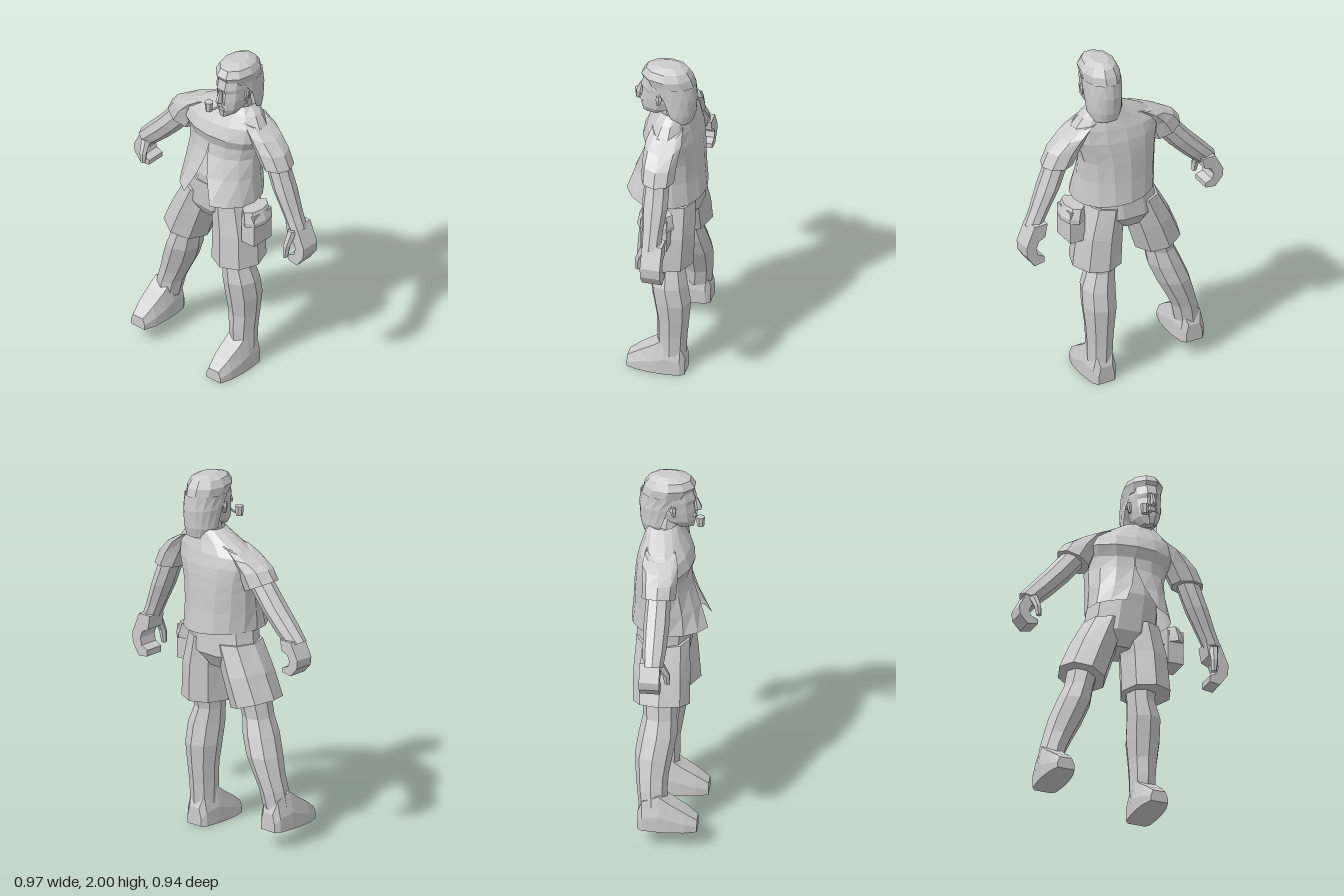
import * as THREE from 'three';

const clay = new THREE.MeshStandardMaterial({ color: 0xcccccc, flatShading: true, side: THREE.DoubleSide });
clay.name = 'light grey';

// Horizontal cross-section; tilt raises its +x side, gap leaves an opening (degrees each way) at the front
function ring([x, y, z, a, b, tilt = 0, gap = 0], n, open) {
  const pts = [];
  const g = THREE.MathUtils.degToRad(gap);
  for (let i = 0; i < n; i++) {
    const t = open ? Math.PI / 2 + g + (i / (n - 1)) * 2 * (Math.PI - g) : (i / n) * 2 * Math.PI;
    pts.push([x + a * Math.cos(t), y + tilt * Math.cos(t), z + b * Math.sin(t)]);
  }
  return pts;
}

// Skin a stack of equal cross-sections, with flat ends unless open
function skin(name, rings, open = false) {
  const n = rings[0].length;
  const pos = rings.flat(2);
  const idx = [];
  for (let r = 0; r < rings.length - 1; r++) {
    for (let i = 0; i < (open ? n - 1 : n); i++) {
      const j = (i + 1) % n;
      const a = r * n + i, b = r * n + j;
      idx.push(a, a + n, b, b, a + n, b + n);
    }
  }
  if (!open) {
    const top = (rings.length - 1) * n;
    for (let i = 1; i < n - 1; i++) idx.push(0, i, i + 1, top, top + i + 1, top + i);
  }
  const g = new THREE.BufferGeometry();
  g.setAttribute('position', new THREE.Float32BufferAttribute(pos, 3));
  g.setIndex(idx);
  g.computeVertexNormals();
  return part(name, g);
}

function part(name, geometry, x = 0, y = 0, z = 0) {
  const m = new THREE.Mesh(geometry, clay);
  m.name = name;
  m.position.set(x, y, z);
  return m;
}

const loft = (name, sections, n = 8) => skin(name, sections.map(s => ring(s, n, false)));
const wrap = (name, sections, n) => skin(name, sections.map(s => ring(s, n, true)), true);

// Boot: trapezoid sections running from heel to toe
function foot(name, x, y, z) {
  const sections = [
    [-0.095, 0.05, 0.1], [-0.07, 0.07, 0.17], [0.02, 0.078, 0.21],
    [0.08, 0.078, 0.165], [0.16, 0.07, 0.115], [0.228, 0.05, 0.065]
  ];
  return skin(name, sections.map(([d, w, h]) => [
    [x - w * 0.7, y + h, z + d], [x + w * 0.7, y + h, z + d],
    [x + w, y + h * 0.45, z + d], [x + w, y, z + d],
    [x - w, y, z + d], [x - w, y + h * 0.45, z + d]
  ]));
}

// Half-closed hand: curled palm and fingers, plus a thumb in front
function hand(name, side, dx, dy, sy) {
  const g = new THREE.Group();
  g.name = name;
  const X = x => side * (x + dx);
  const Y = y => 1.1 + dy + (y - 1.1) * sy;
  const outline = [
    [0.5, 1.1], [0.58, 1.1], [0.63, 0.98], [0.625, 0.92], [0.58, 0.855], [0.52, 0.865],
    [0.52, 0.9], [0.56, 0.92], [0.57, 0.96], [0.555, 1.0], [0.515, 1.02]
  ];
  const shape = new THREE.Shape(outline.map(([x, y]) => new THREE.Vector2(X(x), Y(y))));
  const palm = new THREE.ExtrudeGeometry(shape, { depth: 0.11, bevelEnabled: false });
  g.add(part('palm', palm, 0, 0, -0.07));
  g.add(loft('thumb', [
    [X(0.53), Y(0.91), 0.075, 0.015, 0.016],
    [X(0.535), Y(0.98), 0.07, 0.021, 0.022],
    [X(0.545), Y(1.07), 0.03, 0.027, 0.032]
  ], 6));
  return g;
}

export function createModel() {
  const model = new THREE.Group();
  model.name = 'standingMan';
  const body = new THREE.Group();
  body.name = 'body';
  body.rotation.y = -Math.PI / 4;
  model.add(body);

  // Legs and boots
  body.add(
    loft('leftLeg', [
      [0.138, 0.12, -0.015, 0.073, 0.078], [0.138, 0.24, -0.015, 0.075, 0.085], [0.14, 0.34, -0.02, 0.083, 0.09],
      [0.14, 0.46, -0.015, 0.097, 0.105], [0.137, 0.57, 0.003, 0.097, 0.105], [0.118, 0.67, 0.01, 0.08, 0.09],
      [0.12, 0.8, 0, 0.09, 0.1]
    ]),
    loft('rightLeg', [
      [-0.405, 0.22, -0.015, 0.073, 0.078], [-0.385, 0.32, -0.022, 0.075, 0.083], [-0.355, 0.4, -0.025, 0.083, 0.09],
      [-0.315, 0.5, -0.02, 0.096, 0.103], [-0.272, 0.61, -0.002, 0.097, 0.105], [-0.245, 0.7, 0.005, 0.083, 0.092],
      [-0.21, 0.84, 0, 0.09, 0.1]
    ]),
    foot('leftFoot', 0.136, 0, 0),
    foot('rightFoot', -0.41, 0.1, 0)
  );

  // Shorts
  body.add(
    loft('shortsSeat', [
      [-0.03, 0.95, 0, 0.12, 0.1], [-0.01, 1.03, 0, 0.21, 0.155], [0.01, 1.2, 0.01, 0.205, 0.155]
    ], 10),
    loft('shortsLeftLeg', [
      [0.14, 0.72, 0.025, 0.14, 0.158], [0.13, 0.92, 0.015, 0.132, 0.155], [0.1, 1.1, 0.01, 0.115, 0.145]
    ]),
    loft('shortsRightLeg', [
      [-0.23, 0.77, 0.01, 0.128, 0.155, -0.04], [-0.17, 0.93, 0.005, 0.128, 0.155, -0.02],
      [-0.1, 1.1, 0.005, 0.115, 0.145]
    ])
  );

  // Cargo pocket with a folded flap
  body.add(
    part('cargoPocket', new THREE.BoxGeometry(0.09, 0.19, 0.145), 0.28, 0.995, 0.04),
    loft('pocketFlap', [
      [0.285, 1.025, 0.04, 0.06, 0.1], [0.285, 1.05, 0.04, 0.062, 0.1], [0.27, 1.11, 0.04, 0.05, 0.09]
    ])
  );

  // Chest and belly beneath the shirt
  body.add(loft('torso', [
    [0.02, 1.14, 0.015, 0.18, 0.14], [0.02, 1.25, 0.015, 0.19, 0.15],
    [0.02, 1.4, -0.005, 0.19, 0.135], [0.03, 1.58, 0, 0.2, 0.11], [0.1, 1.69, -0.01, 0.07, 0.07]
  ], 10));

  // Shirt, parted and flared at the lower front
  body.add(wrap('shirt', [
    [0.03, 1.15, 0.04, 0.235, 0.222, -0.02, 23], [0.025, 1.28, 0.015, 0.225, 0.185, 0, 9],
    [0.025, 1.4, -0.005, 0.225, 0.16, 0, 1], [0.03, 1.47, -0.008, 0.24, 0.152],
    [0.035, 1.53, 0.005, 0.265, 0.158], [0.04, 1.6, 0, 0.26, 0.135, 0.015],
    [0.065, 1.66, -0.01, 0.19, 0.105, 0.015], [0.105, 1.715, -0.02, 0.1, 0.085]
  ], 15));

  // Arms with short sleeves running into the shoulders
  body.add(
    loft('leftArm', [
      [0.54, 1.08, 0, 0.05, 0.055], [0.505, 1.16, 0, 0.053, 0.058], [0.45, 1.29, 0, 0.063, 0.072],
      [0.415, 1.38, 0, 0.064, 0.07], [0.385, 1.47, 0, 0.065, 0.068]
    ]),
    loft('leftSleeve', [
      [0.395, 1.42, 0, 0.09, 0.092], [0.35, 1.51, 0, 0.098, 0.096, -0.01], [0.29, 1.59, -0.005, 0.09, 0.1, -0.025],
      [0.22, 1.645, -0.01, 0.075, 0.085, -0.03], [0.14, 1.665, -0.01, 0.06, 0.07, -0.02]
    ]),
    loft('rightArm', [
      [-0.535, 1.18, 0, 0.052, 0.055, -0.02], [-0.465, 1.25, 0, 0.06, 0.065, 0.03],
      [-0.37, 1.35, 0, 0.063, 0.07, 0.03], [-0.27, 1.47, 0, 0.062, 0.067, 0.03]
    ].map(s => [...s.slice(0, 5), -0.025])),
    loft('rightSleeve', [
      [-0.275, 1.45, 0, 0.09, 0.092, -0.045], [-0.23, 1.53, 0, 0.092, 0.096, -0.02],
      [-0.17, 1.595, -0.005, 0.085, 0.098, 0.015], [-0.11, 1.635, -0.01, 0.075, 0.085, 0.025],
      [-0.03, 1.655, -0.01, 0.06, 0.07, 0.02]
    ]),
    hand('leftHand', 1, -0.01, 0, 1),
    hand('rightHand', -1, -0.025, 0.11, 0.78)
  );

  // Head and face
  const hx = 0.125;
  const head = new THREE.Group();
  head.name = 'head';
  body.add(head);
  head.add(
    loft('neck', [[0.11, 1.62, -0.01, 0.075, 0.075], [hx, 1.76, 0.01, 0.06, 0.07]]),
    loft('face', [
      [hx, 1.695, 0.085, 0.04, 0.06], [hx, 1.735, 0.06, 0.07, 0.1], [hx, 1.79, 0.045, 0.082, 0.115],
      [hx, 1.84, 0.04, 0.085, 0.112], [hx, 1.865, 0.04, 0.086, 0.123], [hx, 1.93, 0.025, 0.085, 0.12]
    ], 10),
    loft('nose', [[hx, 1.79, 0.16, 0.018, 0.03], [hx, 1.805, 0.165, 0.016, 0.027], [hx, 1.86, 0.155, 0.01, 0.012]], 6),
    loft('moustache', [[hx, 1.758, 0.145, 0.04, 0.02], [hx, 1.785, 0.15, 0.02, 0.018]], 6),
    loft('beard', [[hx, 1.688, 0.12, 0.025, 0.03], [hx, 1.735, 0.13, 0.035, 0.03]], 6)
  );
  for (const s of [-1, 1]) {
    head.add(loft(s > 0 ? 'leftEar' : 'rightEar', [
      [hx + s * 0.082, 1.78, 0.045, 0.008, 0.01], [hx + s * 0.088, 1.82, 0.04, 0.012, 0.02],
      [hx + s * 0.088, 1.84, 0.04, 0.01, 0.016]
    ], 6));
  }

  // Long swept-back hair
  head.add(
    wrap('hairSides', [
      [hx, 1.665, -0.05, 0.085, 0.08, 0, 95], [hx, 1.72, -0.04, 0.098, 0.105, 0, 80],
      [hx, 1.82, -0.03, 0.103, 0.122, 0, 70], [hx, 1.9, -0.01, 0.105, 0.135, 0, 55]
    ], 11),
    loft('hairTop', [
      [hx, 1.89, -0.005, 0.1, 0.138], [hx, 1.94, 0.015, 0.106, 0.145], [hx, 1.98, 0.015, 0.085, 0.118],
      [hx, 2.0, 0.005, 0.045, 0.065]
    ], 10)
  );

  // Smoking pipe
  const path = new THREE.CatmullRomCurve3([
    new THREE.Vector3(0.115, 1.755, 0.16), new THREE.Vector3(0.09, 1.735, 0.18), new THREE.Vector3(0.072, 1.73, 0.187)
  ]);
  head.add(
    part('pipeStem', new THREE.TubeGeometry(path, 4, 0.007, 5)),
    part('pipeBowl', new THREE.CylinderGeometry(0.024, 0.02, 0.055, 7), 0.068, 1.748, 0.187)
  );
  return model;
}
